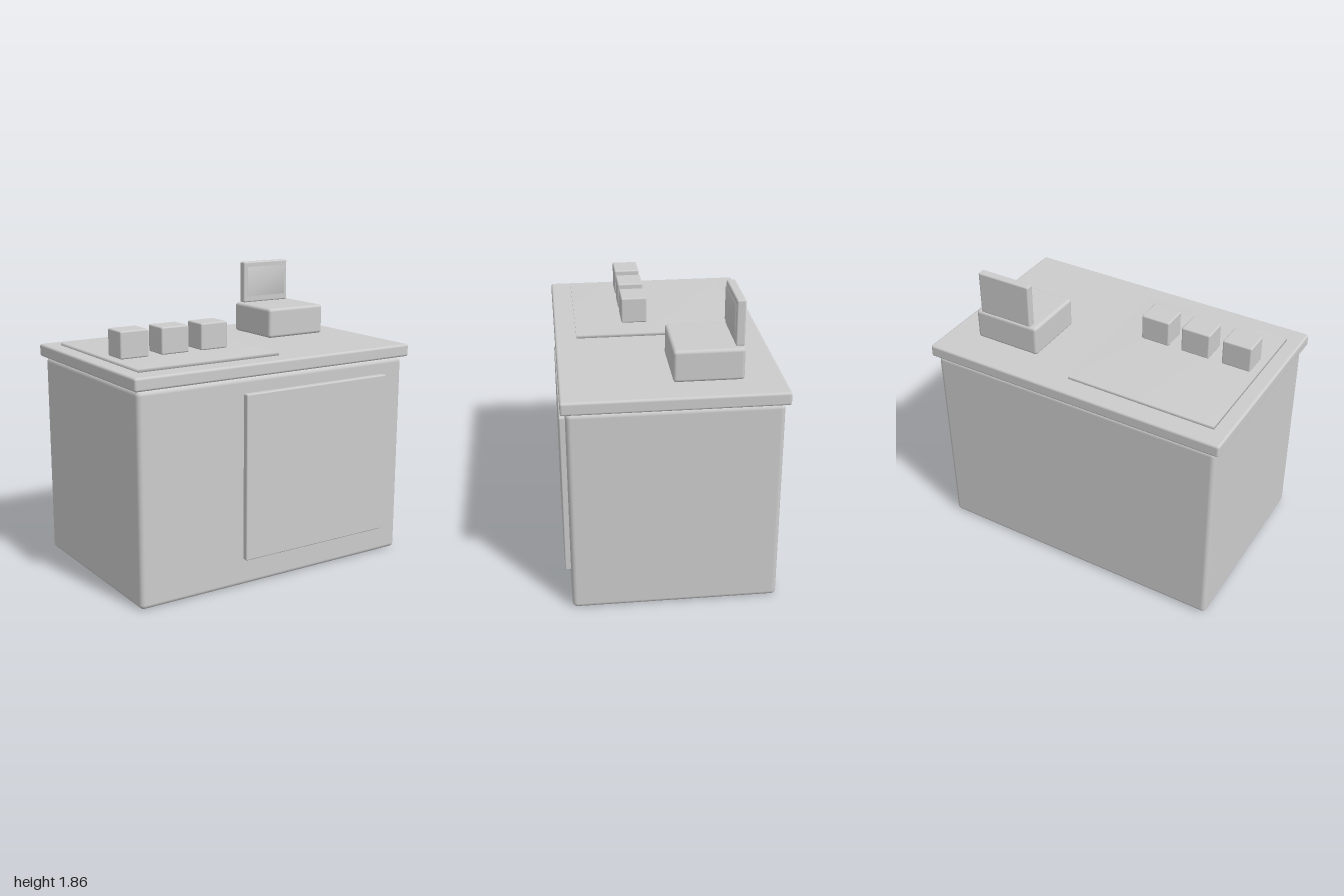
import * as THREE from 'three';
import { RoundedBoxGeometry } from 'three/addons/geometries/RoundedBoxGeometry.js';
import { mergeVertices } from 'three/addons/utils/BufferGeometryUtils.js';

export function createModel() {
  const group = new THREE.Group();
  const grey = new THREE.MeshStandardMaterial({ color: 0xcccccc });
  grey.name = 'light grey';

  // Places a geometry centred in the given extents
  function place(name, geometry, [x0, x1], [y0, y1], [z0, z1]) {
    const mesh = new THREE.Mesh(geometry, grey);
    mesh.name = name;
    mesh.position.set((x0 + x1) / 2, (y0 + y1) / 2, (z0 + z1) / 2);
    group.add(mesh);
  }

  // Box with rounded edges
  function rounded(name, x, y, z, radius) {
    place(name, new RoundedBoxGeometry(x[1] - x[0], y[1] - y[0], z[1] - z[0], 3, radius), x, y, z);
  }

  // Thin box with normals shared across its corners, for a pillowy sheen
  function smoothBox(name, x, y, z) {
    let g = new THREE.BoxGeometry(x[1] - x[0], y[1] - y[0], z[1] - z[0]);
    g.deleteAttribute('normal');
    g.deleteAttribute('uv');
    g = mergeVertices(g);
    g.computeVertexNormals();
    place(name, g, x, y, z);
  }

  // Counter
  rounded('counterBody', [-0.97, 0.97], [0, 1.305], [-0.63, 0.62], 0.03);
  rounded('counterTop', [-1, 1], [1.31, 1.39], [-0.655, 0.65], 0.015);
  rounded('frontPanel', [-0.26, 0.81], [0.17, 1.21], [0.58, 0.655], 0.008);

  // Display mat with a row of three boxes
  smoothBox('displayMat', [-0.905, 0.065], [1.385, 1.41], [-0.525, 0.515]);
  for (let i = 0; i < 3; i++) {
    const x = -0.86 + i * 0.277;
    rounded('displayBox' + (i + 1), [x, x + 0.19], [1.41, 1.577], [0.052, 0.217], 0.01);
  }

  // Till with its upright monitor
  rounded('tillBase', [0.36, 0.8], [1.39, 1.585], [-0.42, -0.005], 0.02);
  rounded('monitor', [0.4, 0.76], [1.585, 1.862], [-0.42, -0.367], 0.01);
  smoothBox('monitorScreen', [0.427, 0.733], [1.627, 1.828], [-0.385, -0.358]);

  return group;
}
